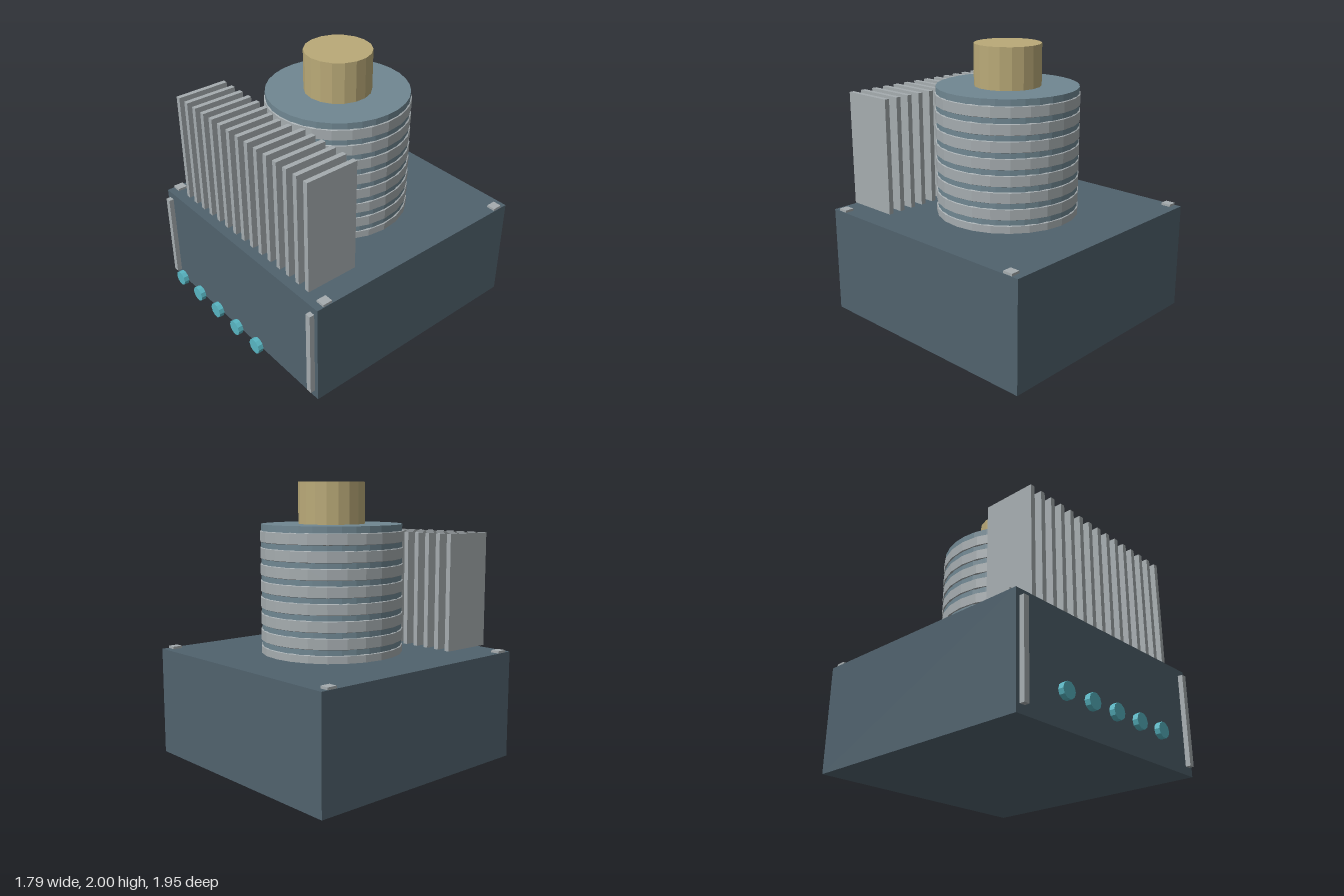
import * as THREE from 'three';

export function createModel() {
  const model = new THREE.Group();
  model.name = 'finnedMachine';

  const mat = (name, color) => {
    const m = new THREE.MeshStandardMaterial({ color, flatShading: true });
    m.name = name;
    return m;
  };
  const darkSlate = mat('darkSlate', 0x50626d);
  const blueGrey = mat('blueGrey', 0x708792);
  const lightGrey = mat('lightGrey', 0xa5acaf);
  const brass = mat('brass', 0xbaaa78);
  const teal = mat('teal', 0x58b5c2);

  const add = (name, geometry, material, x, y, z) => {
    const mesh = new THREE.Mesh(geometry, material);
    mesh.name = name;
    mesh.position.set(x, y, z);
    model.add(mesh);
    return mesh;
  };
  // Box given by its limits on each axis
  const box = (name, material, [x0, x1], [y0, y1], [z0, z1]) =>
    add(name, new THREE.BoxGeometry(x1 - x0, y1 - y0, z1 - z0), material,
      (x0 + x1) / 2, (y0 + y1) / 2, (z0 + z1) / 2);

  // Housing
  box('housing', darkSlate, [-0.897, 0.893], [0, 0.785], [-0.973, 0.836]);

  // Corner pads on the lid
  for (const x of [-0.861, 0.855])
    for (const z of [-0.885, 0.746])
      box('cornerPad', lightGrey, [x - 0.033, x + 0.033], [0.78, 0.802], [z - 0.036, z + 0.036]);

  // Upright rails on the front
  for (const x of [-0.847, 0.841])
    box('frontRail', lightGrey, [x - 0.021, x + 0.021], [0.06, 0.735], [0.83, 0.873]);

  // Row of knobs standing off the front
  for (let i = 0; i < 5; i++) {
    const knob = new THREE.CylinderGeometry(0.056, 0.056, 0.039, 10);
    knob.rotateX(Math.PI / 2).rotateZ(Math.PI / 2);
    add('knob', knob, teal, -0.595 + i * 0.24, 0.18, 0.954);
  }

  // Cylinder barrel and brass cap
  const cx = 0.02, cz = -0.075;
  add('barrel', new THREE.CylinderGeometry(0.505, 0.505, 0.922, 32), blueGrey, cx, 1.244, cz);
  add('brassCap', new THREE.CylinderGeometry(0.238, 0.238, 0.297, 18), brass, cx, 1.8515, cz);

  // Bevelled bands around the barrel
  const profile = [[0.49, -0.048], [0.514, -0.036], [0.514, 0.036], [0.49, 0.048]]
    .map(([r, y]) => new THREE.Vector2(r, y));
  const bandGeometry = new THREE.LatheGeometry(profile, 24);
  for (let i = 0; i < 8; i++)
    add('band', bandGeometry, lightGrey, cx, 0.8 + i * 0.117, cz);

  // Cooling fins in front of the barrel
  for (let i = 0; i < 15; i++) {
    const x = -0.68 + i * 0.1004;
    box('coolingFin', lightGrey, [x - 0.018, x + 0.018], [0.813, 1.641], [0.39, 0.784]);
  }

  return model;
}
